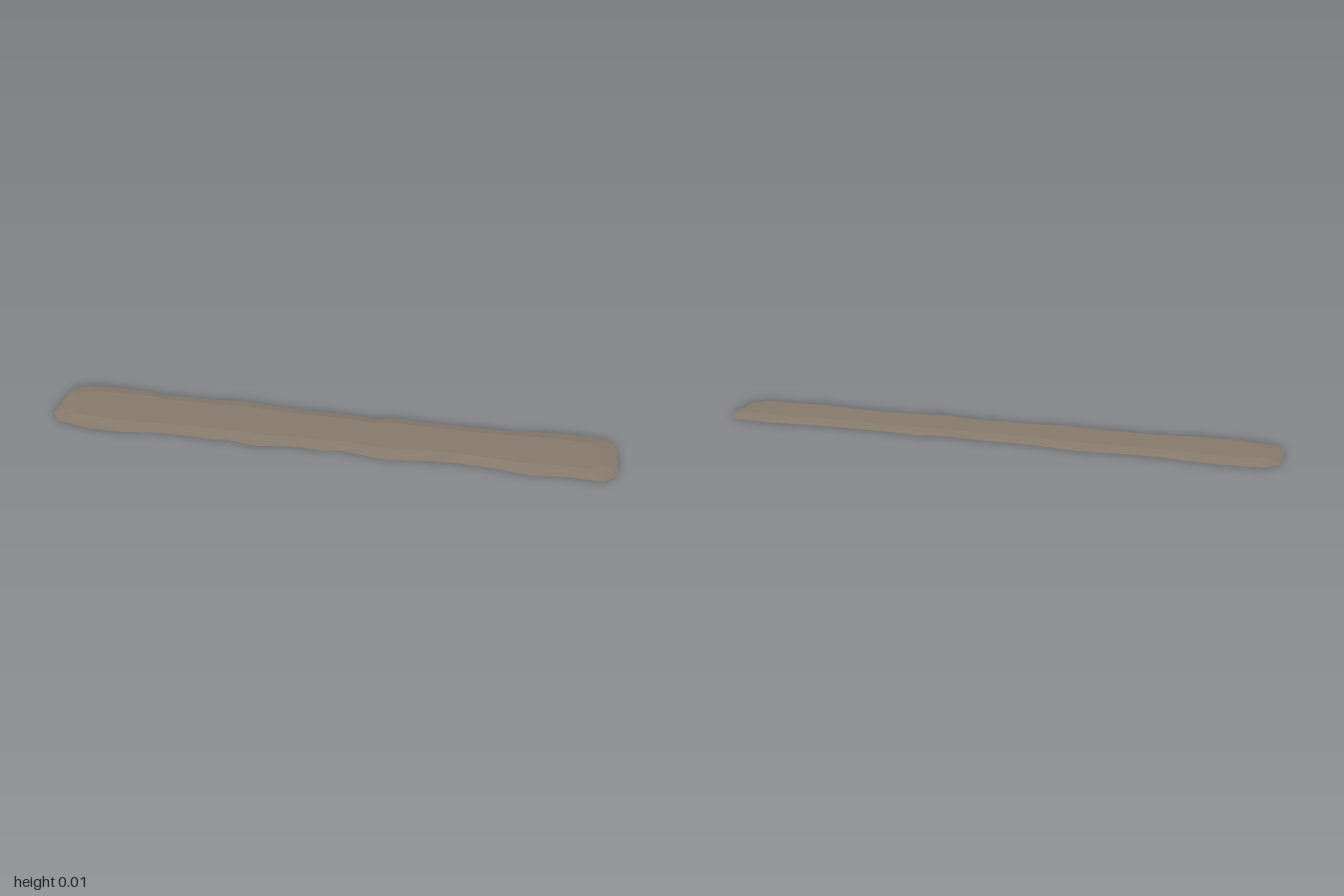
import * as THREE from 'three';

// Ragged outline as x, z pairs
const BACK = [
  [-1, -0.1], [-0.96, -0.147], [-0.875, -0.16], [-0.8, -0.16], [-0.71, -0.155], [-0.65, -0.143],
  [-0.48, -0.143], [-0.335, -0.158], [-0.23, -0.143], [-0.11, -0.134], [0, -0.139], [0.145, -0.127],
  [0.23, -0.147], [0.325, -0.138], [0.63, -0.139], [0.71, -0.152], [0.82, -0.16], [0.955, -0.147], [0.99, -0.1],
];
const FRONT = [
  [-0.995, 0.075], [-0.96, 0.123], [-0.83, 0.155], [-0.71, 0.155], [-0.6, 0.136], [-0.49, 0.131],
  [-0.375, 0.139], [-0.335, 0.13], [-0.23, 0.15], [-0.12, 0.131], [-0.06, 0.126], [0, 0.134],
  [0.065, 0.12], [0.23, 0.147], [0.35, 0.128], [0.47, 0.118], [0.59, 0.126], [0.72, 0.147],
  [0.83, 0.131], [0.955, 0.136], [1, 0.083],
];

function makeGeometry(triangles) {
  const geometry = new THREE.BufferGeometry();
  geometry.setAttribute('position', new THREE.Float32BufferAttribute(triangles.flat(2), 3));
  geometry.computeVertexNormals();
  return geometry;
}

export function createModel() {
  const group = new THREE.Group();
  group.name = 'dirtPath';
  const earth = new THREE.MeshStandardMaterial({ color: 0x85796b, flatShading: true, side: THREE.DoubleSide });
  earth.name = 'earth brown';

  const outline = [...BACK, ...[...FRONT].reverse()];
  const outer = outline.map(([x, z]) => [x, 0, z]);
  // The raised top is the outline drawn inwards, with one small bump at the back
  const inner = outline.map(([x, z]) => [
    x * 0.95,
    x === -0.71 && z < 0 ? 0.015 : 0.012,
    Math.sign(z) * (0.083 + 0.6 * (Math.abs(z) - 0.135)),
  ]);

  // Sloping border
  const slopes = [];
  outer.forEach((o, i) => {
    const j = (i + 1) % outer.length;
    slopes.push([o, inner[i], outer[j]], [outer[j], inner[i], inner[j]]);
  });

  // Nearly flat top, each triangle wound to face upwards
  const contour = inner.map(([x, , z]) => new THREE.Vector2(x, -z));
  const top = THREE.ShapeUtils.triangulateShape(contour, []).map((t) => {
    const up = THREE.ShapeUtils.area(t.map((k) => contour[k])) > 0;
    return (up ? t : [t[0], t[2], t[1]]).map((k) => inner[k]);
  });

  for (const [name, triangles] of [['slopingBorder', slopes], ['pathSurface', top]]) {
    const mesh = new THREE.Mesh(makeGeometry(triangles), earth);
    mesh.name = name;
    group.add(mesh);
  }
  return group;
}
